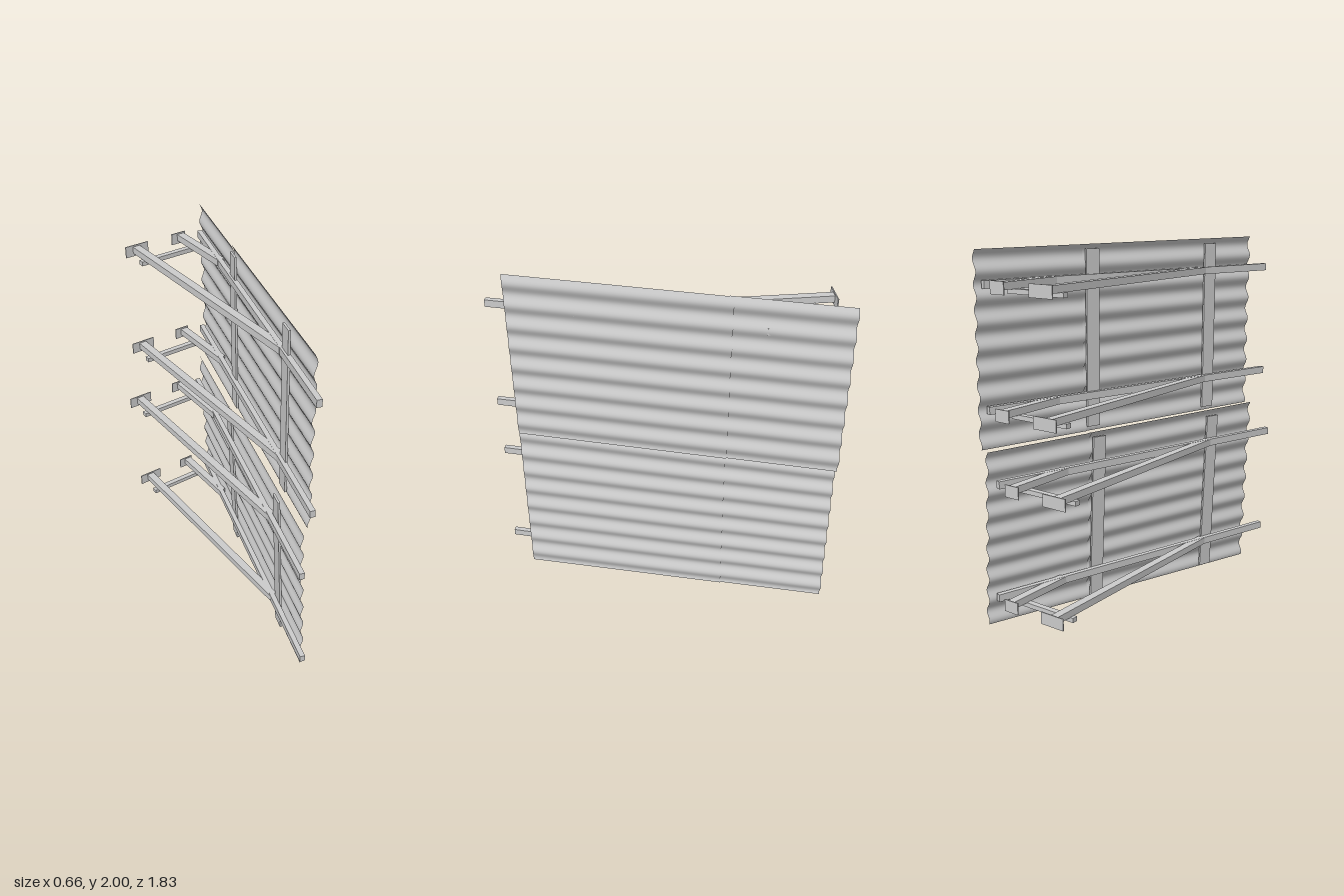
import * as THREE from 'three';

const material = new THREE.MeshStandardMaterial({ color: 0xcccccc });
const sheetMaterial = new THREE.MeshStandardMaterial({ color: 0xcccccc, side: THREE.DoubleSide });
const SLOPE = 0.311;                 // sideways drift of the wall per unit of depth
const YAW = -Math.atan(SLOPE);
const FRONT = 0.81, SEAM = -0.33, BACK = -0.91;

// Mean x of the corrugated wall at depth z
const wallX = (z) => -0.216 + SLOPE * (FRONT - z);

function box(name, w, h, d, x, y, z) {
  const mesh = new THREE.Mesh(new THREE.BoxGeometry(w, h, d), material);
  mesh.name = name;
  mesh.position.set(x, y, z);
  return mesh;
}

// Corrugated sheet between depths z0 and z1; ridges run along its length
function corrugatedSheet(name, row, z0, z1, offset) {
  const geo = new THREE.PlaneGeometry(1, 1, 4, 96);
  const p = geo.attributes.position;
  for (let i = 0; i < p.count; i++) {
    const u = p.getX(i) + 0.5, v = p.getY(i) + 0.5;
    const z = THREE.MathUtils.lerp(z0, z1, u);
    const t = (FRONT - z) / (FRONT - BACK);
    const low = THREE.MathUtils.lerp(row.bottom[0], row.bottom[1], t);
    const high = THREE.MathUtils.lerp(row.top[0], row.top[1], t);
    const wave = 0.01 * Math.sin(2 * Math.PI * 8 * (v - 0.048));
    p.setXYZ(i, wallX(z) + offset + row.lean * v + row.shift + wave, low + (high - low) * v, z);
  }
  geo.computeVertexNormals();
  const mesh = new THREE.Mesh(geo, sheetMaterial);
  mesh.name = name;
  return mesh;
}

// One row of wall: two sheets lapped at the seam, with two upright planks behind
function wallRow(name, row) {
  const group = new THREE.Group();
  group.name = name;
  group.add(corrugatedSheet('frontSheet', row, FRONT, SEAM, 0.004));
  group.add(corrugatedSheet('rearSheet', row, SEAM + 0.02, BACK, -0.002));
  for (const z of [0.5, -0.27]) {
    const y = (row.bottom[0] + row.top[1]) / 2;
    const plank = box('uprightPlank', 0.012, 0.95, 0.08, wallX(z) - 0.017 + row.shift + row.lean / 2, y, z);
    plank.rotation.set(0, YAW, -row.lean, 'ZYX');
    group.add(plank);
  }
  return group;
}

// Horizontal rail carried by two beams, each fixed to a wall plate
function bracket(y, shift) {
  const group = new THREE.Group();
  group.name = 'bracket';
  const rail = box('rail', 0.028, 0.04, 1.875, 0.008, 0, 0.013);
  rail.rotation.y = YAW;
  group.add(rail);
  group.add(box('longBeam', 0.045, 0.038, 1.37, -0.123, 0, -0.23));
  group.add(box('shortBeam', 0.045, 0.038, 0.42, 0.172, 0, -0.705));
  group.add(box('crossBar', 0.36, 0.025, 0.032, 0.015, -0.03, -0.795));
  group.add(box('longBeamPlate', 0.145, 0.065, 0.006, -0.119, -0.005, -0.915));
  group.add(box('shortBeamPlate', 0.09, 0.065, 0.006, 0.158, -0.005, -0.915));
  group.position.set(shift, y, 0);
  return group;
}

export function createModel() {
  const model = new THREE.Group();
  model.name = 'corrugatedWall';

  model.add(wallRow('upperWall', { bottom: [1.0, 0.99], top: [2.0, 1.99], lean: -0.006, shift: 0.002 }));
  model.add(wallRow('lowerWall', { bottom: [0.0, 0.035], top: [1.005, 0.985], lean: -0.04, shift: 0.0 }));

  for (const [y, shift] of [[1.82, 0], [1.195, -0.005], [0.815, -0.052], [0.19, -0.022]]) {
    model.add(bracket(y, shift));
  }
  return model;
}
